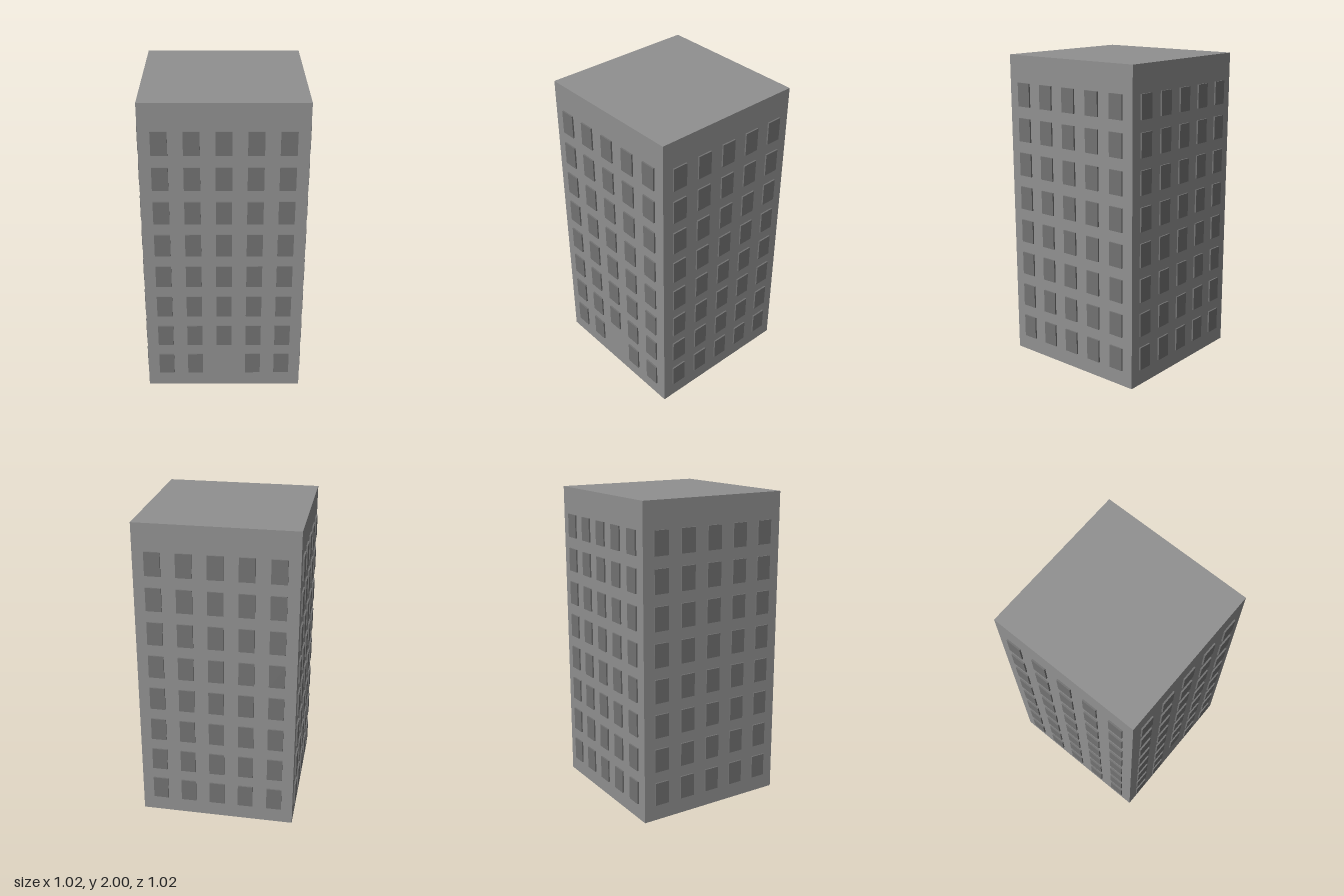
import * as THREE from 'three';

const FLOORS = 8, COLUMNS = 5;
const COLUMN_STEP = 0.189, FLOOR_STEP = 0.225, FIRST_FLOOR_Y = 0.178;

export function createModel() {
  const model = new THREE.Group();
  model.name = 'towerBlock';

  const wallMaterial = new THREE.MeshStandardMaterial({ color: 0x909090, flatShading: true });
  const windowMaterial = new THREE.MeshStandardMaterial({ color: 0x727272, flatShading: true });

  // Main block
  const block = new THREE.Mesh(new THREE.BoxGeometry(1, 2, 1), wallMaterial);
  block.name = 'block';
  block.position.y = 1;
  model.add(block);

  // Slightly raised window panels, one grid per side
  const windowGeometry = new THREE.BoxGeometry(0.098, 0.15, 0.02);
  ['front', 'left', 'back', 'right'].forEach((side, i) => {
    const facade = new THREE.Group();
    facade.name = `${side}Windows`;
    facade.rotation.y = i * Math.PI / 2;
    for (let floor = 0; floor < FLOORS; floor++) {
      for (let column = 0; column < COLUMNS; column++) {
        // Blank entrance bay at the middle of the front ground floor
        if (side === 'front' && floor === 0 && column === 2) continue;
        const pane = new THREE.Mesh(windowGeometry, windowMaterial);
        pane.name = 'window';
        pane.position.set((column - 2) * COLUMN_STEP, FIRST_FLOOR_Y + floor * FLOOR_STEP, 0.5);
        facade.add(pane);
      }
    }
    model.add(facade);
  });

  return model;
}
